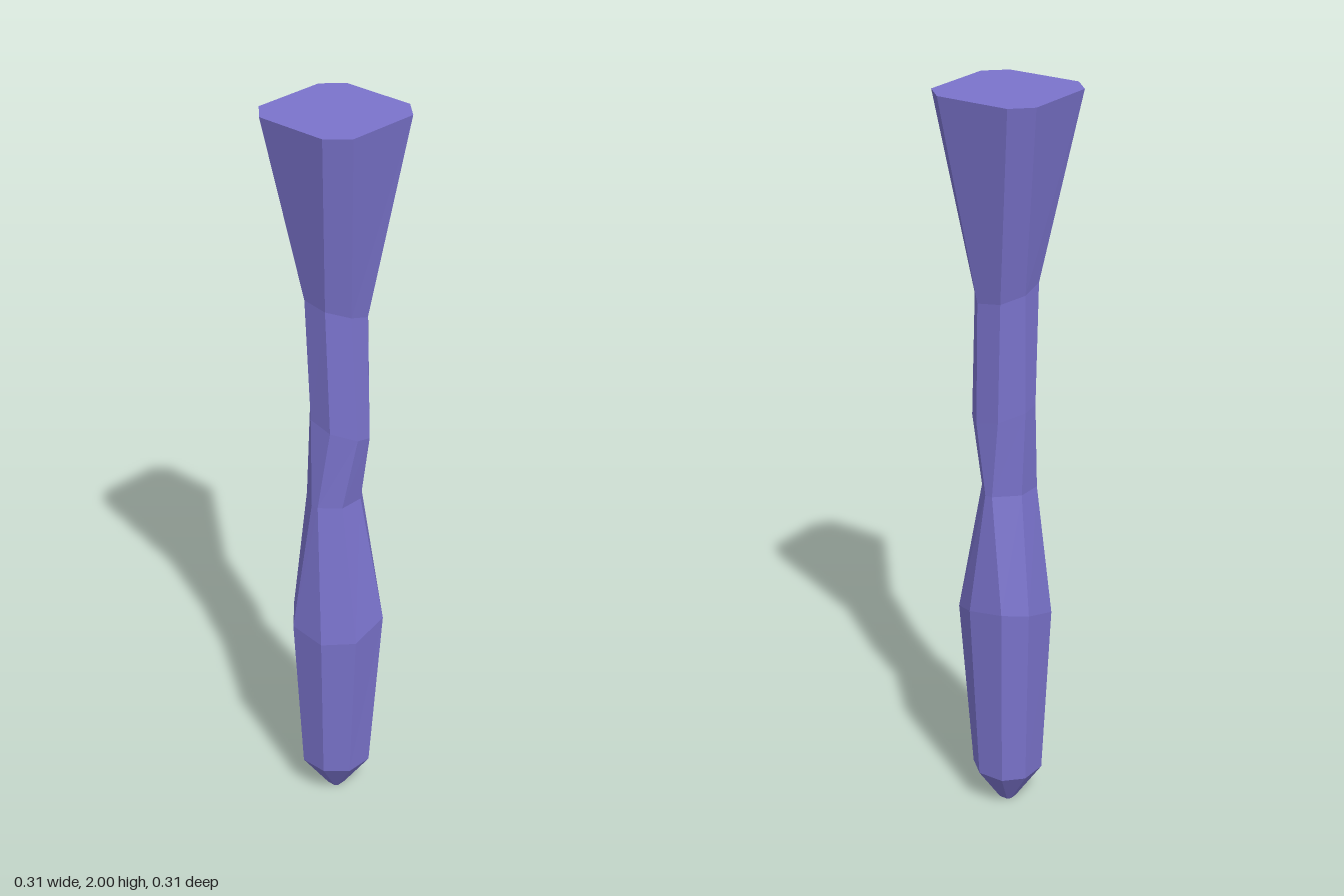
import * as THREE from 'three';

// One irregular eight-sided ring: x and z extents, the flat span on the
// front/back (fx) and on the sides (fz), and a slight tilt of the ring.
const rings = [
  { y: 0.00, x: [-0.02, 0.02], z: [-0.02, 0.02], fx: [-0.012, 0.012], fz: [-0.012, 0.012], tilt: [0, 0] },
  { y: 0.10, x: [-0.088, 0.085], z: [-0.085, 0.088], fx: [-0.04, 0.038], fz: [-0.04, 0.035], tilt: [0, 0] },
  { y: 0.58, x: [-0.112, 0.104], z: [-0.106, 0.12], fx: [-0.052, 0.055], fz: [-0.052, 0.05], tilt: [0.3, -0.15] },
  { y: 0.94, x: [-0.087, 0.078], z: [-0.062, 0.064], fx: [-0.045, 0.025], fz: [-0.005, 0.016], tilt: [0, 0] },
  { y: 1.16, x: [-0.071, 0.075], z: [-0.073, 0.094], fx: [-0.02, 0.025], fz: [-0.022, 0.045], tilt: [-0.2, -0.25] },
  { y: 1.49, x: [-0.083, 0.075], z: [-0.075, 0.08], fx: [-0.03, 0.03], fz: [-0.03, 0.04], tilt: [-0.3, -0.15] },
  { y: 2.00, x: [-0.155, 0.153], z: [-0.155, 0.153], fx: [-0.105, 0.104], fz: [-0.105, 0.1], tilt: [0, 0] },
];

// Corners counter-clockwise when seen from above
function ringPoints({ y, x, z, fx, fz, tilt }) {
  return [
    [fx[0], z[1]], [fx[1], z[1]],
    [x[1], fz[1]], [x[1], fz[0]],
    [fx[1], z[0]], [fx[0], z[0]],
    [x[0], fz[0]], [x[0], fz[1]],
  ].map(([px, pz]) => [px, y + tilt[0] * px + tilt[1] * pz, pz]);
}

function loft(sections) {
  const n = 8, positions = sections.flatMap(ringPoints).flat(), index = [];
  // Side walls
  for (let r = 0; r < sections.length - 1; r++) {
    for (let i = 0; i < n; i++) {
      const a = r * n + i, b = r * n + (i + 1) % n;
      index.push(a, b, b + n, a, b + n, a + n);
    }
  }
  // Bottom and top caps
  const top = (sections.length - 1) * n;
  for (let i = 1; i < n - 1; i++) {
    index.push(0, i + 1, i, top, top + i, top + i + 1);
  }
  const geometry = new THREE.BufferGeometry();
  geometry.setAttribute('position', new THREE.Float32BufferAttribute(positions, 3));
  geometry.setIndex(index);
  const flat = geometry.toNonIndexed();
  flat.computeVertexNormals();
  return flat;
}

export function createModel() {
  const group = new THREE.Group();
  group.name = 'carvedPost';
  // Faceted shaft, pointed below and flared above
  const shaft = new THREE.Mesh(
    loft(rings),
    new THREE.MeshStandardMaterial({ color: 0x7a73cc, flatShading: true })
  );
  shaft.name = 'shaft';
  group.add(shaft);
  return group;
}
